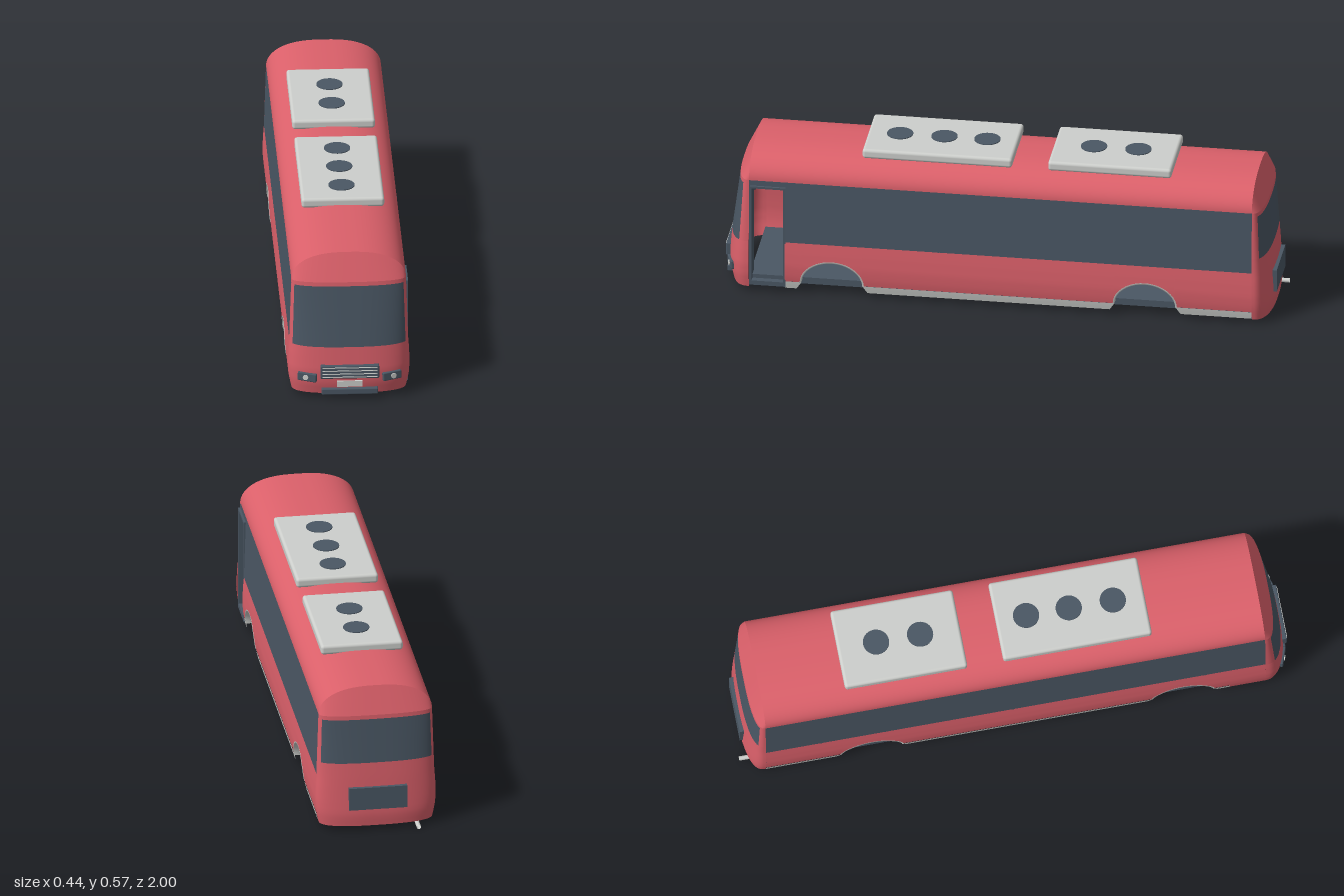
import * as THREE from 'three';
import { RoundedBoxGeometry } from 'three/addons/geometries/RoundedBoxGeometry.js';

const mat = (name, color) => {
  const m = new THREE.MeshStandardMaterial({ color, side: THREE.DoubleSide });
  m.name = name;
  return m;
};
const lerp = THREE.MathUtils.lerp;

// piecewise linear lookup in a list of [key, value]
function lookup(table, k) {
  for (let i = 1; i < table.length; i++) {
    const [a, va] = table[i - 1], [b, vb] = table[i];
    if (k <= b) return lerp(va, vb, Math.max(0, (k - a) / (b - a)));
  }
  return table[table.length - 1][1];
}

// smooth surface sampled from f(u, v) -> [x, y, z]
function grid(nu, nv, f) {
  const pos = [], idx = [];
  for (let j = 0; j <= nv; j++)
    for (let i = 0; i <= nu; i++) pos.push(...f(i / nu, j / nv));
  for (let j = 0; j < nv; j++)
    for (let i = 0; i < nu; i++) {
      const a = j * (nu + 1) + i, b = a + nu + 1;
      idx.push(a, a + 1, b, a + 1, b + 1, b);
    }
  const g = new THREE.BufferGeometry();
  g.setAttribute('position', new THREE.Float32BufferAttribute(pos, 3));
  g.setIndex(idx);
  g.computeVertexNormals();
  return g;
}

// body half width by height, and end positions by height
const WIDTH = [[0.018, 0.205], [0.04, 0.21], [0.07, 0.2155], [0.11, 0.218], [0.16, 0.216], [0.205, 0.2125], [0.44, 0.205]];
const FRONT = [[0.018, 0.975], [0.06, 0.985], [0.11, 0.988], [0.2, 0.98], [0.44, 0.947]];
const REAR = [[0.018, -0.98], [0.06, -0.985], [0.2, -0.976], [0.44, -0.956]];
const Z0 = 0.9, Z1 = -0.915, Q = 2 / 2.6, SILL = 0.205, EAVE = 0.44;
const width = (y) => lookup(WIDTH, y);
const pw = (v, p) => Math.sign(v) * Math.pow(Math.abs(v), p);
const roofPoint = (t, z) => [0.205 * pw(Math.cos(t), Q), EAVE + 0.098 * Math.max(0, Math.sin(t)), z];

export function createModel() {
  const bus = new THREE.Group();
  bus.name = 'bus';
  const red = mat('body red', 0xdb606a);
  const dark = mat('dark glass', 0x4a5764);
  const pale = mat('pale grey', 0xcdcfcc);

  const add = (name, geometry, material, x = 0, y = 0, z = 0) => {
    const m = new THREE.Mesh(geometry, material);
    m.name = name;
    m.position.set(x, y, z);
    bus.add(m);
    return m;
  };
  const box = (name, material, x0, x1, y0, y1, z0, z1) =>
    add(name, new THREE.BoxGeometry(x1 - x0, y1 - y0, z1 - z0), material, (x0 + x1) / 2, (y0 + y1) / 2, (z0 + z1) / 2);

  // roof shell
  add('roof', grid(40, 1, (u, v) => roofPoint(u * Math.PI, lerp(Z0, Z1, v))), red);

  // rounded front and rear ends, each with a wraparound window
  const makeEnd = (name, base, table, glassY) => {
    const ring = (t, y) => [
      width(y) * pw(Math.cos(t), Q), y,
      base + (lookup(table, y) - base) * Math.pow(Math.max(0, Math.sin(t)), Q)];
    const patch = (part, material, t0, t1, y0, y1, nu, nv) =>
      add(name + part, grid(nu, nv, (u, v) => ring(lerp(t0, t1, u), lerp(y0, y1, v))), material);
    const e = 0.362, P = Math.PI, top = 0.425;
    patch('LowerPanel', red, 0, P, 0.018, glassY, 40, 14);
    patch('PillarLeft', red, 0, e, glassY, top, 8, 6);
    patch('PillarRight', red, P - e, P, glassY, top, 8, 6);
    patch('Window', dark, e, P - e, glassY, top, 30, 6);
    patch('Header', red, 0, P, top, EAVE, 40, 1);
    add(name + 'RoofCap', grid(40, 4, (u, v) => {
      const a = ring(u * P, EAVE), b = roofPoint(u * P, base);
      return a.map((k, i) => lerp(k, b[i], v));
    }), red);
  };
  makeEnd('front', Z0, FRONT, 0.2);
  makeEnd('rear', Z1, REAR, 0.26);

  // lower edge of the side walls, from front to back, with wheel arches
  const ARCHES = [0.6, -0.53], AR = 0.11, AH = 0.085, SKIRT = 0.05, DOOR = 0.77;
  const archPoint = (c, a, grow = 0) => [c + (AR + grow) * Math.cos(a), SKIRT + (AH + grow) * Math.sin(a)];
  const edge = [[DOOR, SKIRT]];
  for (const c of ARCHES)
    for (let i = 0; i <= 20; i++) edge.push(archPoint(c, (i / 20) * Math.PI));
  edge.push([Z1, SKIRT]);

  for (const s of [1, -1]) {
    const side = s > 0 ? 'left' : 'right';
    const wall = (name, material, z0, z1, y0, y1, n = 1) =>
      add(side + name, grid(1, n, (u, v) => {
        const y = lerp(y0, y1, v);
        return [s * width(y), y, lerp(z0, z1, u)];
      }), material);

    add(side + 'Wall', grid(edge.length - 1, 10, (u, v) => {
      const [z, yb] = edge[Math.round(u * (edge.length - 1))];
      const y = lerp(yb, SILL, v);
      return [s * width(y), y, z];
    }), red);
    wall('Windows', dark, DOOR, Z1, SILL, EAVE, 4);
    // the left side has an open doorway, the right side is closed
    if (s > 0) wall('OverDoorGlass', dark, Z0, DOOR, 0.42, EAVE);
    else {
      wall('FrontWall', red, Z0, DOOR, 0.018, SILL, 10);
      wall('FrontWindow', dark, Z0, DOOR, SILL, EAVE, 4);
    }

    // thin window dividers
    for (let i = 0; i < 7; i++) {
      const z = 0.68 - i * 0.2325;
      add(side + 'WindowDivider', grid(1, 1, (u, v) => {
        const y = lerp(SILL, EAVE, v);
        return [s * (width(y) + 0.001), y, z + (u - 0.5) * 0.005];
      }), dark);
    }

    // pale skirt between the arches, with sloping ends
    const runs = [[DOOR, ARCHES[0] + AR, 0, 1], [ARCHES[0] - AR, ARCHES[1] + AR, 1, 1], [ARCHES[1] - AR, Z1, 1, 0]];
    for (const [za, zb, ia, ib] of runs)
      add(side + 'Skirt', grid(1, 3, (u, v) => {
        const y = lerp(0.022, SKIRT, v), inset = 0.018 * (1 - v);
        return [s * (width(y) + 0.001), y, lerp(za - ia * inset, zb + ib * inset, u)];
      }), pale);

    // arch lips turning inward
    for (const c of ARCHES)
      add(side + 'ArchLip', grid(20, 2, (u, v) => {
        const [z, y] = archPoint(c, u * Math.PI, v === 0 ? 0.006 : 0);
        return [s * (width(y) + (v === 1 ? -0.025 : 0.002)), y, z];
      }), pale);
  }

  // floor and doorway lining
  box('floor', dark, -0.19, 0.19, 0.035, 0.06, -0.93, 0.9);
  box('doorFrontJamb', dark, 0.15, 0.213, 0.03, 0.42, 0.89, 0.898);
  box('doorRearJamb', dark, 0.15, 0.213, 0.03, 0.42, 0.768, 0.776);
  box('doorLintel', dark, 0.15, 0.213, 0.412, 0.42, 0.768, 0.898);
  box('doorStep', dark, 0.15, 0.213, 0.028, 0.045, 0.768, 0.898);

  // roof units with fans
  const units = [[0.5, -0.04, [0.385, 0.225, 0.07]], [-0.17, -0.615, [-0.315, -0.475]]];
  for (const [za, zb, fans] of units) {
    add('roofUnit', new RoundedBoxGeometry(0.296, 0.036, za - zb, 4, 0.011), pale, 0, 0.545, (za + zb) / 2);
    for (const z of fans) add('roofFan', new THREE.CylinderGeometry(0.047, 0.047, 0.01, 32), dark, 0, 0.561, z);
  }

  // front grilles and number plate
  add('grille', new RoundedBoxGeometry(0.21, 0.05, 0.022, 2, 0.004), dark, 0, 0.109, 0.987);
  for (let i = 0; i < 4; i++) {
    const y = 0.091 + i * 0.012;
    box('grilleBar', pale, -0.098, 0.098, y - 0.0015, y + 0.0015, 0.996, 1);
  }
  add('lowerGrille', new RoundedBoxGeometry(0.202, 0.023, 0.026, 2, 0.004), dark, 0, 0.0315, 0.981);
  box('frontPlate', pale, -0.046, 0.046, 0.05, 0.072, 0.983, 0.992);

  // headlights
  for (const s of [1, -1]) {
    const light = new THREE.Group();
    light.name = 'headlight';
    const housing = new THREE.Mesh(new RoundedBoxGeometry(0.07, 0.032, 0.016, 2, 0.004), dark);
    housing.name = 'headlightHousing';
    const lamp = new THREE.Mesh(new THREE.CylinderGeometry(0.01, 0.01, 0.006, 20), pale);
    lamp.name = 'headlightLamp';
    lamp.rotation.x = Math.PI / 2;
    lamp.position.set(s * 0.004, 0, 0.008);
    light.add(housing, lamp);
    light.position.set(s * 0.151, 0.084, 0.972);
    light.rotation.set(0, s * 0.33, s * 0.05);
    bus.add(light);
  }

  // rear panel and exhaust pipe
  box('rearPanel', dark, -0.105, 0.105, 0.085, 0.17, -0.99, -0.97);
  const pipe = add('exhaustPipe', new THREE.CylinderGeometry(0.008, 0.008, 0.08, 16, 1, true), pale, -0.145, 0.01, -0.96);
  pipe.rotation.x = Math.PI / 2;
  pipe.position.y = 0.008;

  return bus;
}
